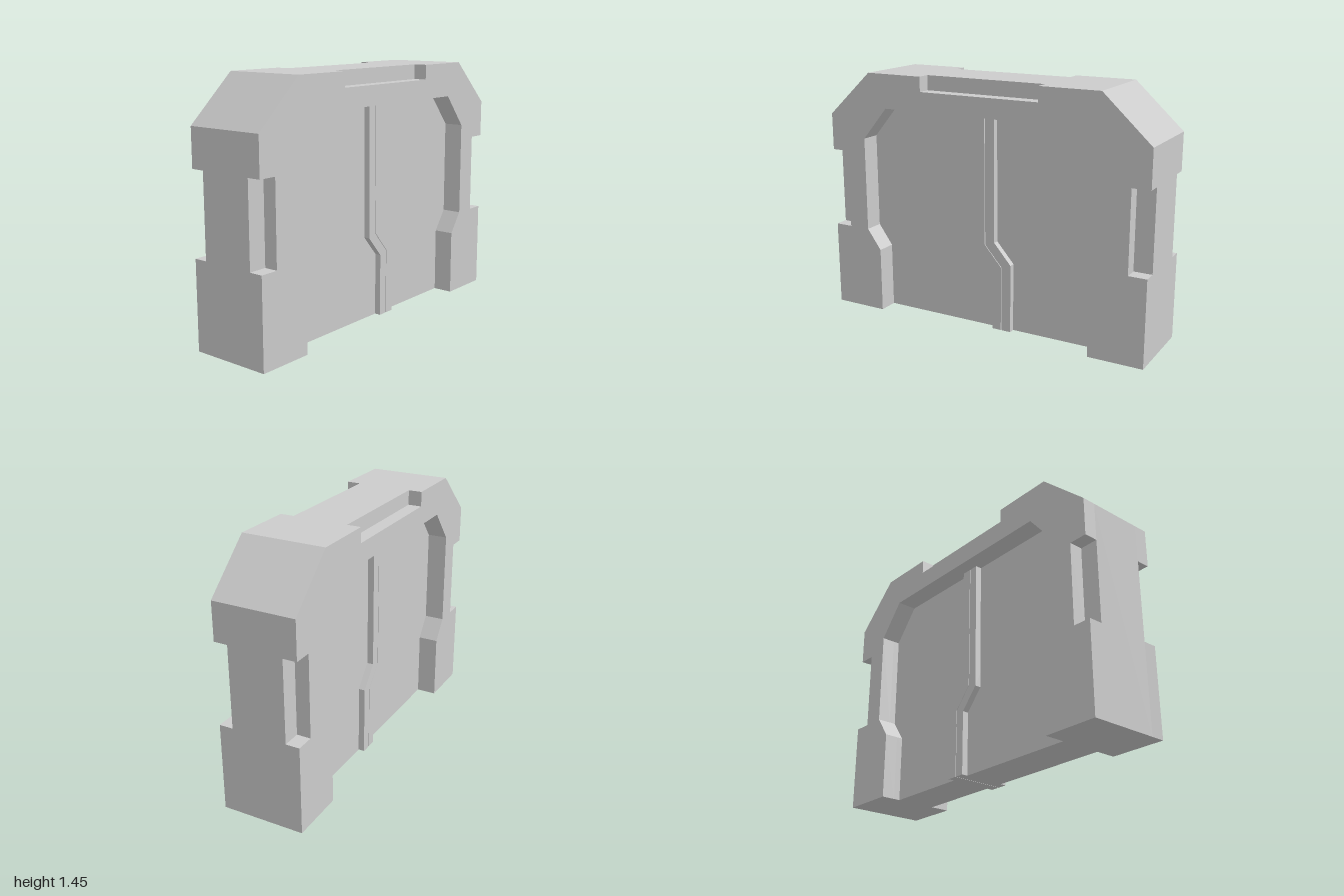
import * as THREE from 'three';
import { mergeGeometries } from 'three/addons/utils/BufferGeometryUtils.js';

const HALF = 0.237;     // half depth of the frame
const NOTCH = 0.158;    // half depth left between the grip notches
const PANEL = 0.12;     // half depth of the door leaves
const STRIP = 0.156;    // half depth of the raised seam strips
const TOP = 1.247;      // top of the opening

const material = new THREE.MeshStandardMaterial({ color: 0xcccccc, flatShading: true });

const toShape = (pts) => new THREE.Shape(pts.map(([x, y]) => new THREE.Vector2(x, y)));
const mirror = (pts) => pts.map(([x, y]) => [-x, y]).reverse();

// Side walls of a counter-clockwise outline, from z0 to z1
function walls(pts, z0, z1) {
  const v = [];
  pts.forEach((p, i) => {
    const q = pts[(i + 1) % pts.length];
    v.push(...p, z0, ...q, z0, ...q, z1, ...p, z0, ...q, z1, ...p, z1);
  });
  const g = new THREE.BufferGeometry();
  g.setAttribute('position', new THREE.Float32BufferAttribute(v, 3));
  g.computeVertexNormals();
  return g;
}

// Flat face at z, and its twin turned round to the back
function faces(pts, z) {
  const g = new THREE.ShapeGeometry(toShape(pts)).toNonIndexed();
  g.deleteAttribute('uv');
  g.translate(0, 0, z);
  return [g, g.clone().rotateY(Math.PI)];
}

// Solid plate centred on z = 0
function plate(name, pts, half) {
  const g = new THREE.ExtrudeGeometry(toShape(pts), { depth: half * 2, bevelEnabled: false });
  g.translate(0, 0, -half);
  const mesh = new THREE.Mesh(g, material);
  mesh.name = name;
  return mesh;
}

function createFrame() {
  // Opening, right half from the top down
  const opening = [[0.607, TOP], [0.767, 1.057], [0.767, 0.503], [0.68, 0.383], [0.68, 0]];
  const plainHalf = [[1, 0], [1, 1.187], [0.72, 1.445]];
  const notchedHalf = [[1, 0], [1, 0.503], [0.895, 0.503], [0.895, 0.97], [1, 0.97],
    [1, 1.187], [0.72, 1.445], [0.367, 1.445], [0.367, 1.36]];
  const outline = (half) => [...half, ...mirror(half), ...mirror(opening), ...opening];
  const notched = outline(notchedHalf);

  // Notch floors
  const topFloor = [[-0.367, 1.36], [0.367, 1.36], [0.367, 1.445], [-0.367, 1.445]];
  const sideFloor = [[0.895, 0.503], [1, 0.503], [1, 0.97], [0.895, 0.97]];

  const geometry = mergeGeometries([
    walls(outline(plainHalf), -NOTCH, NOTCH),
    walls(notched, NOTCH, HALF),
    walls(notched, -HALF, -NOTCH),
    ...faces(notched, HALF),
    ...faces(topFloor, NOTCH),
    ...faces(sideFloor, NOTCH),
    ...faces(mirror(sideFloor), NOTCH),
  ]);
  const frame = new THREE.Mesh(geometry, material);
  frame.name = 'frame';
  return frame;
}

export function createModel() {
  const model = new THREE.Group();
  model.name = 'slidingDoor';
  model.add(createFrame());

  // Cranked lines of the seam, from the top down
  const crank = (x, y) => [[x, TOP], [x, y], [x + 0.105, y - 0.12], [x + 0.105, 0]];
  const gap = 0.002;
  const rightEdge = crank(-0.056, 0.484);
  const leftEdge = crank(0.06, 0.524);
  const rightSeam = crank(-gap, 0.504);
  const leftSeam = crank(gap, 0.504);
  const jamb = [[0.607, TOP], [0.767, 1.057], [0.767, 0.503], [0.68, 0.383], [0.68, 0]];

  // Door leaves and their raised strips on both faces
  const leftDoor = new THREE.Group();
  leftDoor.name = 'leftDoor';
  leftDoor.add(
    plate('leftPanel', [...leftEdge, ...[...jamb].reverse()], PANEL),
    plate('leftSeamStrip', [...leftSeam, ...[...leftEdge].reverse()], STRIP),
  );
  const rightDoor = new THREE.Group();
  rightDoor.name = 'rightDoor';
  rightDoor.add(
    plate('rightPanel', [...mirror(jamb).reverse(), ...[...rightEdge].reverse()], PANEL),
    plate('rightSeamStrip', [...rightEdge, ...[...rightSeam].reverse()], STRIP),
  );
  model.add(leftDoor, rightDoor);
  return model;
}
